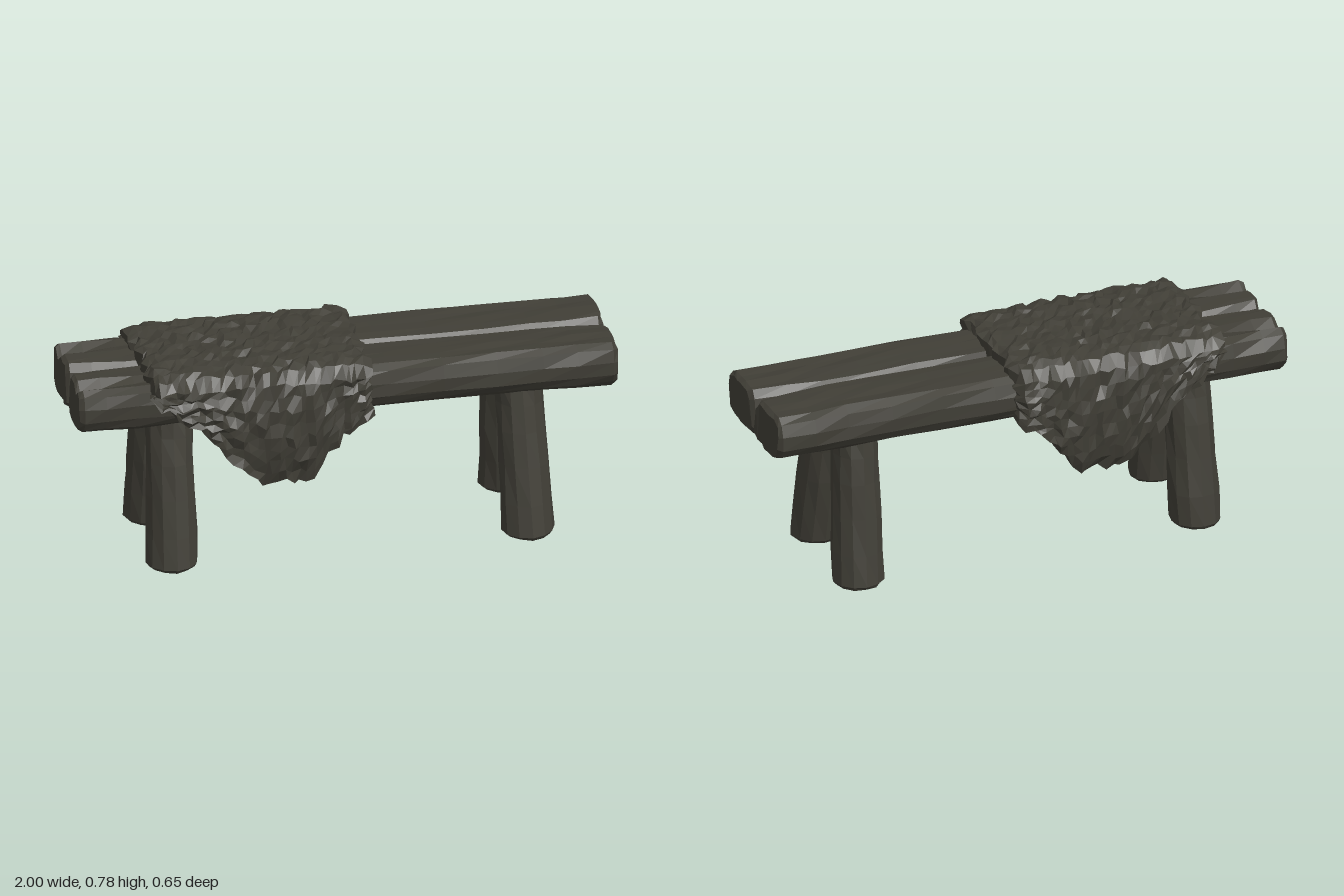
import * as THREE from 'three';

// Seeded noise in -1..1
let seed = 7;
function rnd() {
  seed = (seed * 16807) % 2147483647;
  return (seed / 2147483647) * 2 - 1;
}

// Piecewise-linear lookup in [key, value] pairs
function sample(table, k) {
  if (k <= table[0][0]) return table[0][1];
  for (let i = 1; i < table.length; i++) {
    const [k0, v0] = table[i - 1], [k1, v1] = table[i];
    if (k <= k1) return v0 + ((v1 - v0) * (k - k0)) / (k1 - k0);
  }
  return table[table.length - 1][1];
}

// Joins closed rings of equal (even) length into a capped, faceted solid
function loft(rings) {
  const n = rings[0].length, last = (rings.length - 1) * n, index = [];
  for (let i = 0; i < rings.length - 1; i++) {
    for (let j = 0; j < n; j++) {
      const a = i * n + j, b = i * n + ((j + 1) % n), c = b + n, d = a + n;
      index.push(a, d, c, a, c, b);
    }
  }
  for (let j = 0; j < n / 2 - 1; j++) {
    const p = j, q = j + 1, r = n - 2 - j, s = n - 1 - j;
    index.push(p, q, r, p, r, s);
    index.push(last + p, last + r, last + q, last + p, last + s, last + r);
  }
  const geo = new THREE.BufferGeometry();
  geo.setAttribute('position', new THREE.Float32BufferAttribute(rings.flat(2), 3));
  geo.setIndex(index);
  const flat = geo.toNonIndexed();
  flat.computeVertexNormals();
  return flat;
}

// Half of the split-log seat: [z, y] section running over the top and back underneath
const HALF = [
  [0.242, 0.66], [0.228, 0.708], [0.195, 0.724], [0.15, 0.722], [0.11, 0.724], [0.06, 0.723], [0.02, 0.72], [0.002, 0.69],
  [0.002, 0.575], [0.03, 0.552], [0.07, 0.55], [0.11, 0.55], [0.15, 0.55], [0.19, 0.553], [0.222, 0.575], [0.242, 0.61],
];

function plankHalf(side) {
  const stations = [-1, -0.98, -0.9, -0.78, -0.6, -0.35, -0.1, 0.15, 0.35, 0.55, 0.72, 0.85, 0.98, 1];
  const depth = side > 0 ? 1 : 1.07;
  const rings = stations.map((x) => {
    const end = Math.abs(x) === 1;
    const split = Math.max(0, Math.abs(x) - 0.8) * 0.12;
    const crack = Math.max(0, -0.7 - x) * 0.1;
    const ring = HALF.map(([z, y], j) => {
      if (j === 6 || j === 7) z += split;
      if (j === 3) y -= crack;
      if (end) {
        z = 0.12 + (z - 0.12) * 0.9;
        y = 0.637 + (y - 0.637) * 0.88;
      }
      return [x + (end ? -Math.sign(x) * 0.004 * (1 + rnd()) : 0), y + rnd() * 0.003, side * depth * (z + rnd() * 0.004)];
    });
    return side > 0 ? ring : ring.reverse();
  });
  return loft(rings);
}

// Splayed round leg from foot to seat
function leg(footX, topX, footZ, topZ) {
  const levels = [0.004, 0.016, 0.13, 0.27, 0.4, 0.5, 0.59];
  const rings = levels.map((y, i) => {
    const t = y / 0.55, r = (i === 0 ? 0.083 : 0.096 - 0.009 * t);
    return Array.from({ length: 12 }, (_, j) => {
      const a = (j / 12) * Math.PI * 2, rr = r + rnd() * 0.004;
      return [
        footX + (topX - footX) * t + Math.cos(a) * rr,
        i === 0 ? 0.002 + rnd() * 0.002 : y,
        footZ + (topZ - footZ) * t + Math.sin(a) * rr,
      ];
    });
  });
  return loft(rings);
}

// Hem height along the seat and outward bulge of the hanging flaps
const HEM = [
  [-0.74, 0.7], [-0.6, 0.59], [-0.5, 0.5], [-0.42, 0.4], [-0.34, 0.325], [-0.15, 0.32],
  [-0.12, 0.39], [-0.07, 0.45], [-0.03, 0.5], [0.05, 0.54], [0.08, 0.57],
];
const BULGE = [[0.32, 0.275], [0.38, 0.3], [0.46, 0.312], [0.6, 0.308], [0.66, 0.302], [0.72, 0.288]];

// Shaggy pelt draped across the seat
function pelt() {
  const columns = 30, sideRows = 9, topRows = 16, rings = [];
  for (let i = 0; i <= columns; i++) {
    const x = -0.735 + (0.81 * i) / columns;
    const edge = i === 0 || i === columns;
    const flap = (s) => {
      const hem = sample(HEM, x) + rnd() * 0.012;
      return Array.from({ length: sideRows }, (_, k) => {
        const y = hem + (0.715 - hem) * (k / (sideRows - 1));
        return [s * (sample(BULGE, y) - (edge ? 0.025 : 0)), y];
      });
    };
    const top = Array.from({ length: topRows }, (_, k) => {
      const z = 0.25 - (0.5 * k) / (topRows - 1);
      return [z, 0.77 - Math.max(0, Math.abs(z) - 0.2) * 0.3 - (edge ? 0.015 : 0)];
    });
    const outer = [...flap(1), ...top, ...flap(-1).reverse()];
    const inner = outer.map(([z, y], k) => {
      const onTop = k >= sideRows && k < sideRows + topRows;
      if (onTop) return [z * 0.88, 0.7];
      return [Math.sign(z) * (0.235 + Math.max(0, 0.4 - y) * 0.15), Math.min(y + 0.004, 0.7)];
    });
    const shift = () => rnd() * (edge ? 0.016 : 0.009);
    rings.push([
      ...outer.map(([z, y]) => [x + shift(), y + rnd() * 0.009, z + rnd() * 0.012]),
      ...inner.reverse().map(([z, y]) => [x + rnd() * 0.005, y, z + rnd() * 0.005]),
    ]);
  }
  return loft(rings);
}

export function createModel() {
  seed = 7;
  const group = new THREE.Group();
  group.name = 'bench';
  const darkWood = new THREE.MeshStandardMaterial({ color: 0x403e36 });
  darkWood.name = 'dark wood';

  const add = (name, geometry) => {
    const mesh = new THREE.Mesh(geometry, darkWood);
    mesh.name = name;
    group.add(mesh);
  };

  add('frontSeatPlank', plankHalf(1));
  add('backSeatPlank', plankHalf(-1));

  // Legs lean outward toward the floor
  add('frontRightLeg', leg(-0.65, -0.645, 0.207, 0.115));
  add('backRightLeg', leg(-0.65, -0.645, -0.205, -0.125));
  add('frontLeftLeg', leg(0.668, 0.65, 0.207, 0.115));
  add('backLeftLeg', leg(0.668, 0.65, -0.205, -0.125));

  add('drapedPelt', pelt());
  return group;
}
